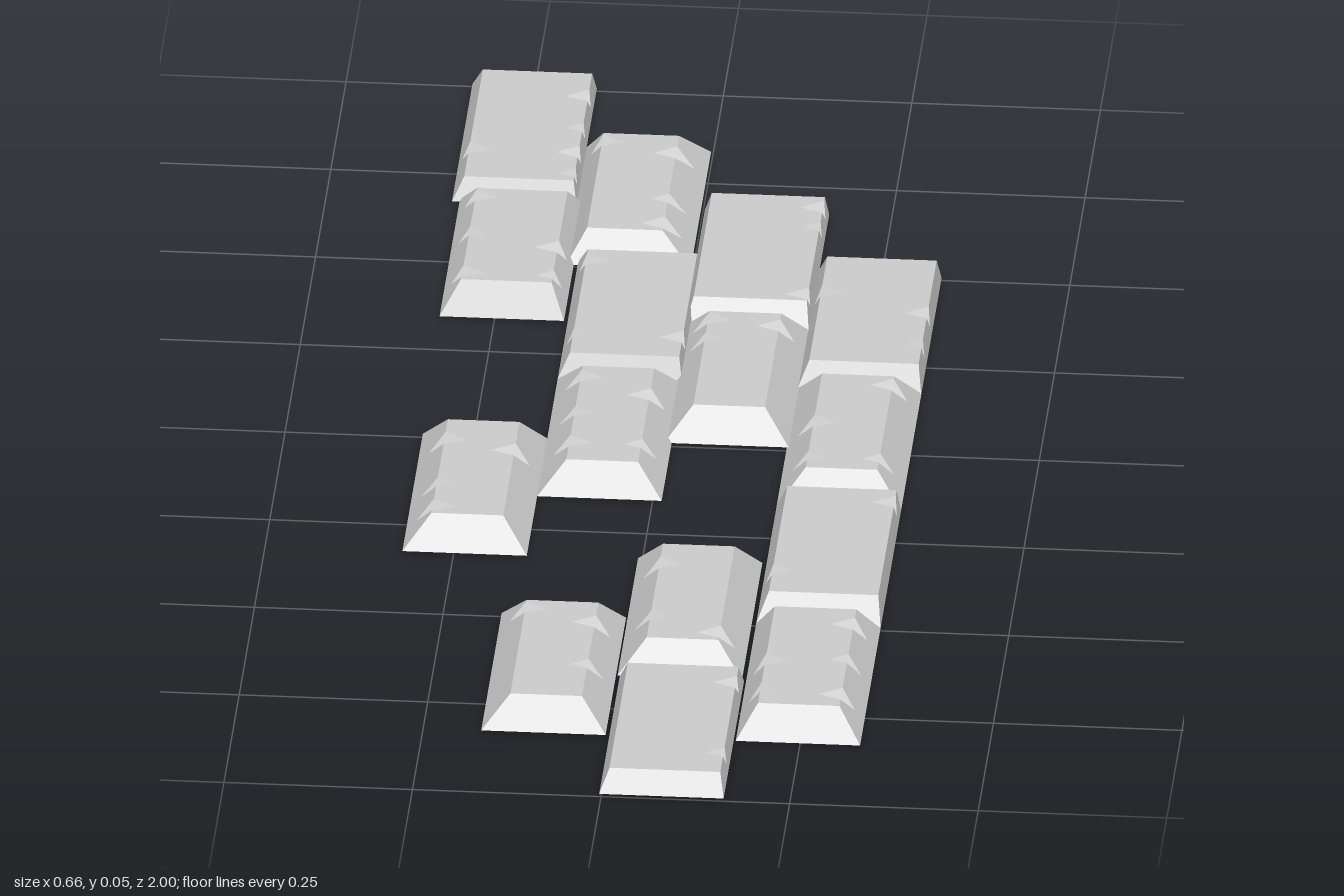
import * as THREE from 'three';

const W = 0.0825, L = 0.1675; // half width and half length of a brick base
const UP = new THREE.Vector3(0, 1, 0);
const material = new THREE.MeshStandardMaterial({ color: 0xcccccc, flatShading: true, side: THREE.DoubleSide });

// Collects triangles, turning each one to face the given outward direction
function collector() {
  const out = [];
  const tri = (a, b, c, outward) => {
    const n = b.clone().sub(a).cross(c.clone().sub(a));
    const order = n.dot(outward) < 0 ? [a, c, b] : [a, b, c];
    order.forEach(p => out.push(p.x, p.y, p.z));
  };
  // Fills an outline after flattening it with the given projection
  const fill = (points, flatten, outward) => {
    const flat = points.map(flatten);
    const faces = THREE.ShapeUtils.triangulateShape(flat, []);
    faces.forEach(([a, b, c]) => tri(points[a], points[b], points[c], outward));
  };
  return { out, tri, fill };
}

// Bevelled, open-bottomed brick with wedge-shaped chips in its long top edges.
// insets: bevel width at left (-x), right (+x), back and front
function brickGeometry(h, base, insets, chipsLeft, chipsRight) {
  const { out, tri, fill } = collector();
  const [il, ir, ib, iF] = insets;
  const V = (x, y, z) => new THREE.Vector3(x, y, z);
  const zb = -L + ib, zf = L - iF;
  const topOutline = [];

  for (const s of [1, -1]) {
    const xTop = s > 0 ? W - ir : -W + il;
    const chips = [...(s > 0 ? chipsRight : chipsLeft)].sort((a, b) => a - b);
    const rim = [V(xTop, h, zb)];   // edge of the top face, back to front
    const lip = [V(xTop, h, zb)];   // upper edge of the bevel face
    chips.forEach((c, i) => {
      const half = i % 2 ? 0.013 : 0.017;
      const z = THREE.MathUtils.clamp(c, zb + half + 0.003, zf - half - 0.003);
      const a = V(xTop, h, z - half), b = V(xTop, h, z + half);
      const inner = V(xTop - s * (i % 2 ? 0.022 : 0.03), h, z + 0.004);
      const low = V(xTop, h, z).lerp(V(s * W, base, z), 0.6);
      rim.push(a, inner, b);
      lip.push(a, low, b);
      tri(a, inner, low, UP);
      tri(inner, b, low, UP);
    });
    rim.push(V(xTop, h, zf));
    lip.push(V(xTop, h, zf));
    topOutline.push(...(s > 0 ? rim : rim.reverse()));
    // Long bevel
    fill([...lip, V(s * W, base, L), V(s * W, base, -L)],
      p => new THREE.Vector2(p.z, p.y), V(s, 0, 0));
  }
  // Top face
  fill(topOutline, p => new THREE.Vector2(p.x, p.z), UP);
  // End bevels
  for (const s of [1, -1]) {
    const z = s > 0 ? zf : zb;
    fill([V(-W, base, s * L), V(W, base, s * L), V(W - ir, h, z), V(-W + il, h, z)],
      p => new THREE.Vector2(p.x, p.y), V(0, 0, s));
  }
  const g = new THREE.BufferGeometry();
  g.setAttribute('position', new THREE.Float32BufferAttribute(out, 3));
  g.computeVertexNormals();
  return g;
}

export function createModel() {
  const group = new THREE.Group();
  group.name = 'brickPatch';
  const brick = (x, z, h, insets, left, right) => {
    const base = x > 0.2 ? 0 : 0.004;
    const mesh = new THREE.Mesh(brickGeometry(h, base, insets, left, right), material);
    mesh.name = 'brick' + (group.children.length + 1);
    mesh.position.set(x, 0, z);
    group.add(mesh);
  };
  const wide = [0.036, 0.034, 0.034, 0.034];

  // First column (-x)
  brick(-0.25, -0.8325, 0.034, [0.015, 0.005, 0.015, 0.015], [0.07], [-0.09, 0, 0.07, 0.13]);
  brick(-0.24, -0.505, 0.037, [0.025, 0.02, 0.03, 0.045], [-0.13, -0.015, 0.1], [0.02, 0.1]);
  brick(-0.235, 0.165, 0.045, wide, [-0.08, 0.045, 0.11], [-0.055]);

  // Second column
  brick(-0.085, -0.665, 0.042, [0.025, 0.04, 0.03, 0.035], [-0.12], [-0.09, 0.04, 0.11]);
  brick(-0.07, -0.34, 0.036, [0.015, 0.005, 0.025, 0.015], [-0.115, 0.095], [0.095]);
  brick(-0.07, -0.005, 0.043, wide, [-0.105, -0.005, 0.08], [-0.06, 0.08]);
  brick(-0.09, 0.665, 0.043, wide, [-0.13], [-0.08, 0.04]);

  // Third column
  brick(0.085, -0.5, 0.035, [0.01, 0.005, 0.01, 0.03], [], [-0.13, -0.075, 0.13]);
  brick(0.085, -0.17, 0.045, wide, [-0.12, -0.06], [-0.1]);
  brick(0.077, 0.495, 0.045, wide, [-0.08, 0.07], [0.11]);
  brick(0.08, 0.8325, 0.033, [0.012, 0.006, 0.015, 0.02], [], [-0.11, 0.09]);

  // Fourth column (+x)
  brick(0.247, -0.34, 0.036, [0.015, 0.005, 0.02, 0.02], [-0.05], [0, 0.09]);
  brick(0.247, -0.01, 0.042, wide, [0, 0.1], [-0.11, 0.1]);
  brick(0.247, 0.325, 0.036, [0.015, 0.005, 0.01, 0.025], [0.08], [-0.125]);
  brick(0.247, 0.66, 0.041, [0.027, 0.03, 0.027, 0.032], [0.01, 0.09], [-0.1, 0, 0.1]);
  return group;
}
